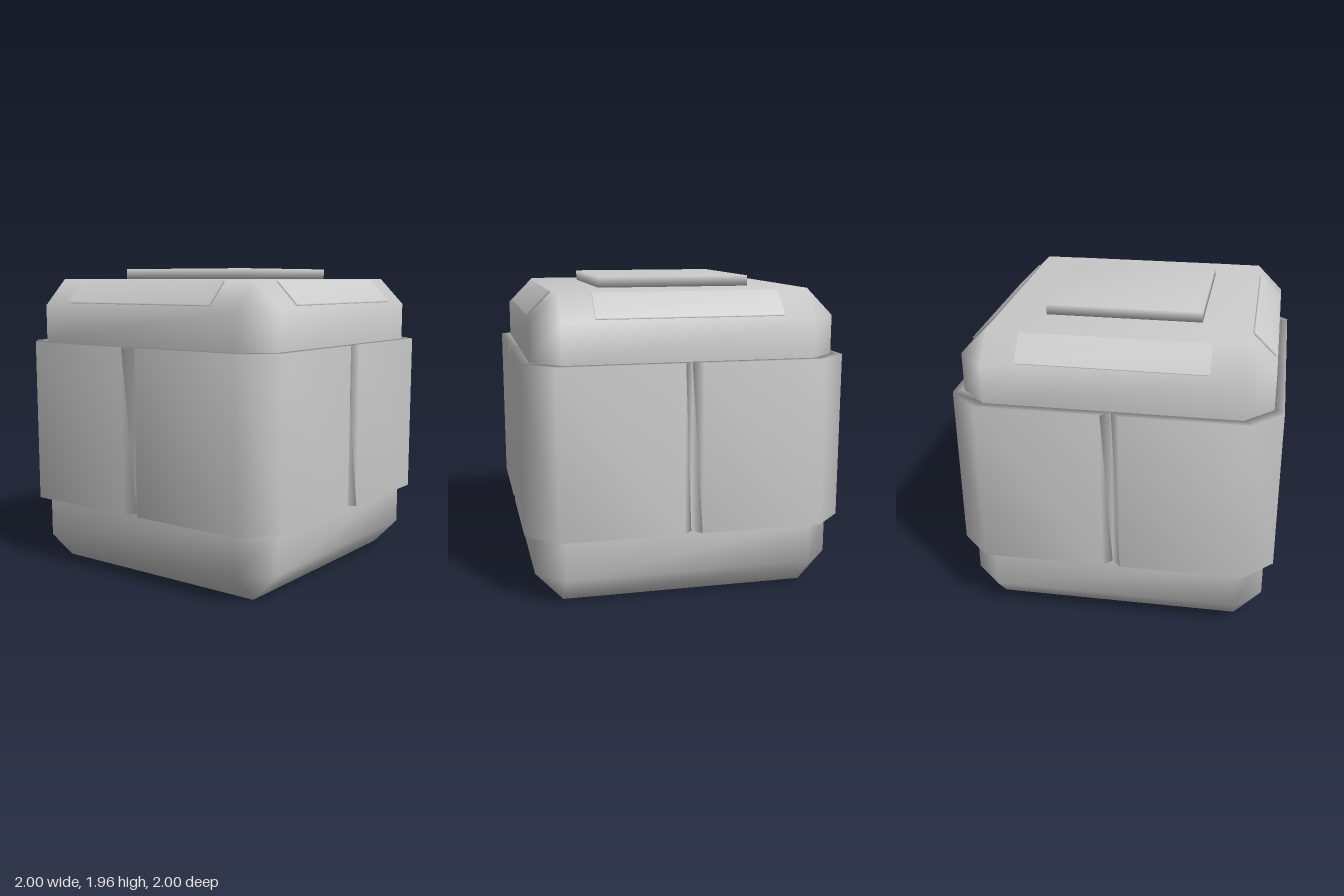
import * as THREE from 'three';
import { mergeVertices } from 'three/addons/utils/BufferGeometryUtils.js';

const material = new THREE.MeshStandardMaterial({ color: 0xcccccc });

// Weld shared corners and average the normals for the soft shading
function smooth(geometry) {
  geometry.deleteAttribute('uv');
  geometry.deleteAttribute('normal');
  const welded = mergeVertices(geometry, 1e-4);
  welded.computeVertexNormals();
  return welded;
}

function addPart(parent, name, geometry) {
  const mesh = new THREE.Mesh(geometry, material);
  mesh.name = name;
  parent.add(mesh);
  return mesh;
}

// Cube with every edge chamfered: stacked eight-point sections
function bodyGeometry() {
  const wide = 0.94, flat = 0.77;
  const sections = [[0, flat], [0.18, wide], [0.44, wide], [1.48, wide], [1.72, wide], [1.89, flat]];
  const positions = [], index = [];
  for (const [y, w] of sections) {
    for (let k = 0; k < 4; k++) {
      for (const s of [-flat, flat]) {
        const p = new THREE.Vector2(w, s).rotateAround(new THREE.Vector2(), k * Math.PI / 2);
        positions.push(p.x, y, -p.y);
      }
    }
  }
  for (let r = 0; r < sections.length - 1; r++) {
    for (let i = 0; i < 8; i++) {
      const a = r * 8 + i, b = r * 8 + (i + 1) % 8;
      index.push(a, b, b + 8, a, b + 8, a + 8);
    }
  }
  const top = (sections.length - 1) * 8;
  for (let i = 1; i < 7; i++) {
    index.push(0, i + 1, i);
    index.push(top, top + i, top + i + 1);
  }
  const geometry = new THREE.BufferGeometry();
  geometry.setAttribute('position', new THREE.Float32BufferAttribute(positions, 3));
  geometry.setIndex(index);
  return smooth(geometry);
}

// Panel wrapping one corner, its ends bevelled so neighbours leave a V groove
function cornerPanelGeometry() {
  const outline = [[0.94, 0], [1, 0.055], [1, 0.815], [0.815, 1], [0.055, 1], [0, 0.94], [0.77, 0.94], [0.94, 0.77]];
  const shape = new THREE.Shape(outline.map(([x, y]) => new THREE.Vector2(x, y)));
  const geometry = new THREE.ExtrudeGeometry(shape, { depth: 1.04, bevelEnabled: false });
  geometry.rotateX(-Math.PI / 2);
  geometry.translate(0, 0.44, 0);
  return smooth(geometry);
}

export function createModel() {
  const model = new THREE.Group();
  model.name = 'chamferedCrate';

  addPart(model, 'body', bodyGeometry());

  // Raised square plate on the top
  const lid = smooth(new THREE.BoxGeometry(0.96, 0.065, 0.96));
  addPart(model, 'topPlate', lid).position.y = 1.9225;

  // Four corner panels and four sloping plates on the upper chamfers
  const panel = cornerPanelGeometry();
  const strip = new THREE.BoxGeometry(1.14, 0.195, 0.022);
  strip.rotateX(-Math.PI / 4);
  strip.translate(0, 1.807, 0.857);
  const plate = smooth(strip);
  for (let k = 0; k < 4; k++) {
    addPart(model, 'cornerPanel' + (k + 1), panel).rotation.y = k * Math.PI / 2;
    addPart(model, 'edgePlate' + (k + 1), plate).rotation.y = k * Math.PI / 2;
  }
  return model;
}
